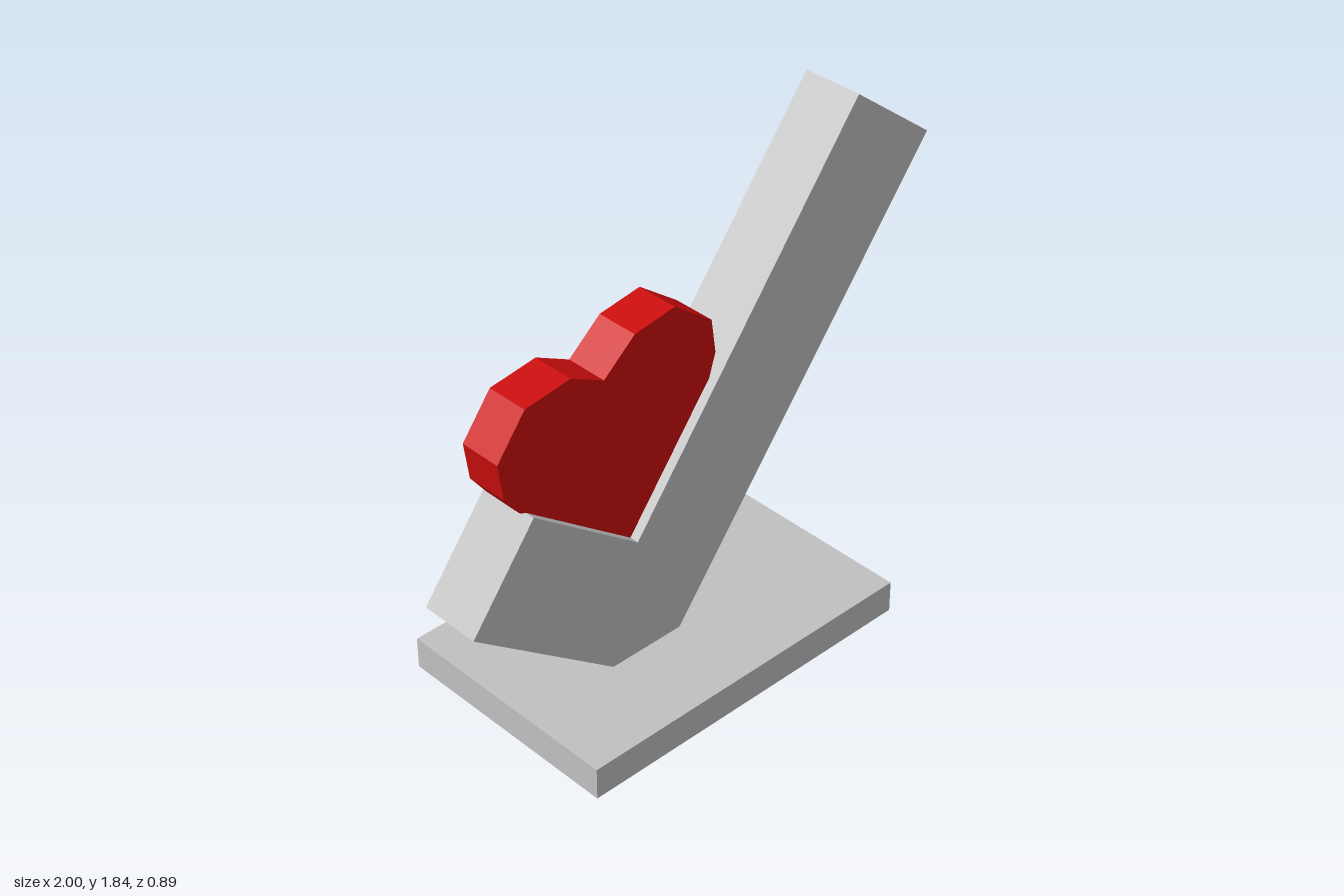
import * as THREE from 'three';

const grey = new THREE.MeshStandardMaterial({ color: 0xc0c0c0 });
grey.name = 'light grey';
const red = new THREE.MeshStandardMaterial({ color: 0xcc0d0d });
red.name = 'red';

// Flat outline in x-y, extruded evenly about z = 0
function plate(name, points, depth, material) {
  const shape = new THREE.Shape(points.map(([x, y]) => new THREE.Vector2(x, y)));
  const geometry = new THREE.ExtrudeGeometry(shape, { depth, bevelEnabled: false });
  geometry.translate(0, 0, -depth / 2);
  const mesh = new THREE.Mesh(geometry, material);
  mesh.name = name;
  return mesh;
}

export function createModel() {
  const model = new THREE.Group();
  model.name = 'checkMarkTrophy';

  // Rectangular foot
  const base = new THREE.Mesh(new THREE.BoxGeometry(1.36, 0.12, 0.89), grey);
  base.name = 'base';
  base.position.set(-0.12, 0.06, 0);
  model.add(base);

  // Tick with its lower corner cut off flat on the base
  model.add(plate('checkMark', [
    [-1, 0.56], [-0.425, 0.12], [-0.125, 0.12], [1, 1.58],
    [0.66, 1.84], [-0.31, 0.575], [-0.74, 0.9],
  ], 0.23, grey));

  // Faceted heart resting in the notch
  model.add(plate('heart', [
    [-0.31, 0.575], [0.04, 1.03], [0.068, 1.12], [0.05, 1.25], [-0.11, 1.37],
    [-0.28, 1.345], [-0.41, 1.235], [-0.545, 1.305], [-0.73, 1.28],
    [-0.845, 1.13], [-0.825, 0.99], [-0.765, 0.91], [-0.74, 0.9],
  ], 0.16, red));

  return model;
}
